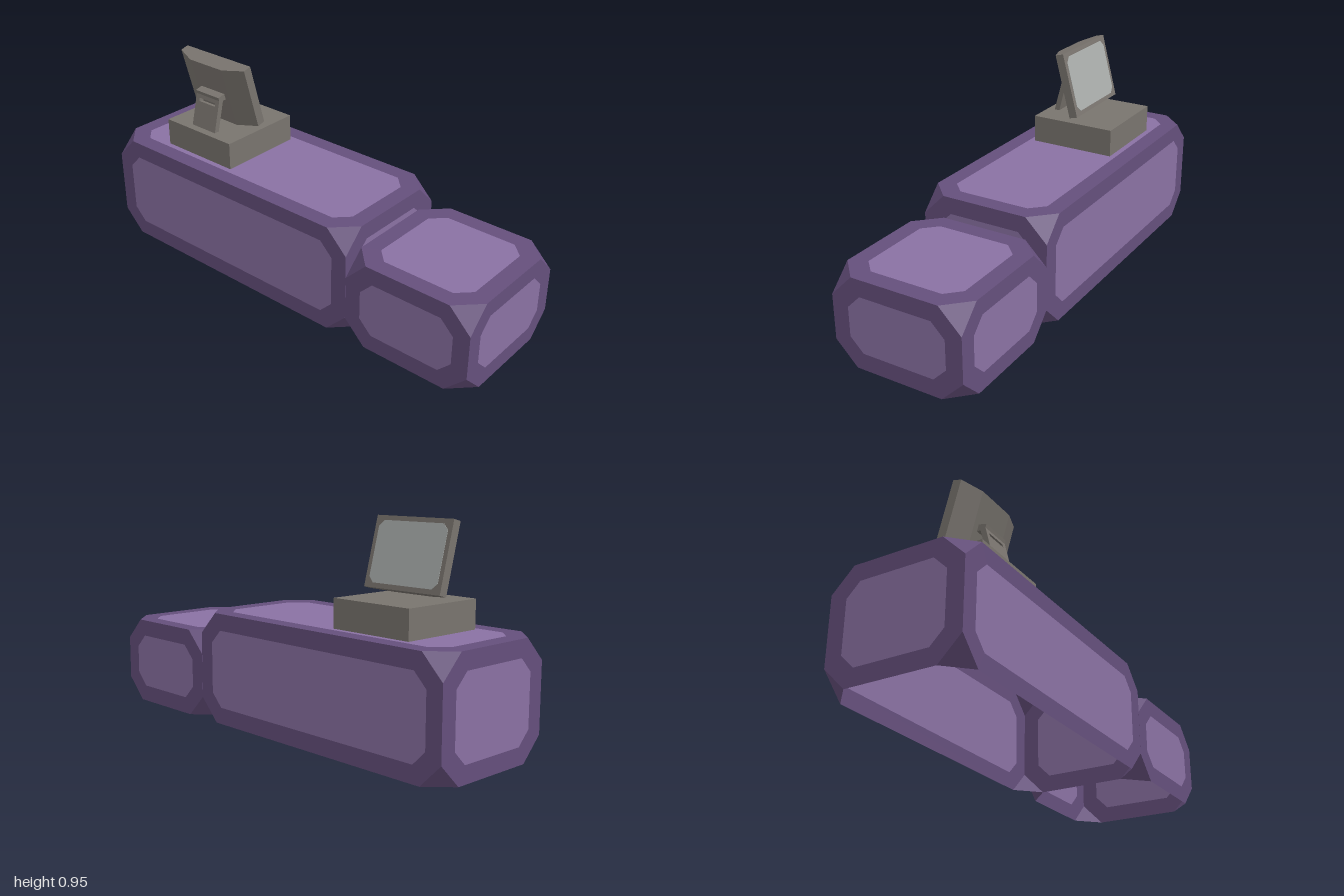
import * as THREE from 'three';

const mat = (name, color, double) => {
  const m = new THREE.MeshStandardMaterial({ color, flatShading: true });
  m.name = name;
  if (double) m.side = THREE.DoubleSide;
  return m;
};

// Rectangle with its four corners cut off
function cutRect(Type, w, h, c) {
  const p = [];
  for (const [sx, sy, flip] of [[1, 1, 0], [-1, 1, 1], [-1, -1, 0], [1, -1, 1]]) {
    const a = [sx * w / 2, sy * (h / 2 - c)], b = [sx * (w / 2 - c), sy * h / 2];
    p.push(...(flip ? [b, a] : [a, b]));
  }
  return new Type(p.map(([x, y]) => new THREE.Vector2(x, y)));
}

export function createModel() {
  const rimMat = mat('dark purple', 0x654f7c, true);
  const panelMat = mat('light purple', 0x8a71a3, true);
  const greyMat = mat('warm grey', 0x79746e);
  const screenMat = mat('screen grey', 0xa9adab);
  const root = new THREE.Group();

  const add = (parent, name, geometry, material) => {
    const m = new THREE.Mesh(geometry, material);
    m.name = name;
    parent.add(m);
    return m;
  };

  // Hollow block, open underneath, with cut corners and a light panel on each face
  const cut = 0.1, inset = 0.075;
  function block(name, x0, x1, h, d) {
    const g = new THREE.Group();
    g.name = name;
    g.position.set((x0 + x1) / 2, h / 2, 0);
    const w = x1 - x0;
    const faces = [
      ['front', w, h, d, 0, 0], ['back', w, h, d, 0, Math.PI],
      ['left', d, h, w, 0, Math.PI / 2], ['right', d, h, w, 0, -Math.PI / 2],
      ['top', w, d, h, -Math.PI / 2, 0],
    ];
    for (const [side, fw, fh, depth, rx, ry] of faces) {
      const face = new THREE.Group();
      face.name = side + 'Face';
      face.rotation.set(rx, ry, 0);
      const rim = cutRect(THREE.Shape, fw, fh, cut);
      const size = [fw - 2 * inset, fh - 2 * inset, 0.06];
      rim.holes.push(cutRect(THREE.Path, ...size));
      for (const [part, shape, m] of [['Rim', rim, rimMat], ['Panel', cutRect(THREE.Shape, ...size), panelMat]])
        add(face, side + part, new THREE.ShapeGeometry(shape).translate(0, 0, depth / 2), m);
      g.add(face);
    }
    // Triangles closing the eight corners
    const v = [];
    for (const sx of [-1, 1]) for (const sy of [-1, 1]) for (const sz of [-1, 1]) {
      const X = sx * w / 2, Y = sy * h / 2, Z = sz * d / 2;
      const a = [X - sx * cut, Y, Z], b = [X, Y - sy * cut, Z], c = [X, Y, Z - sz * cut];
      v.push(...(sx * sy * sz > 0 ? [a, b, c] : [a, c, b]).flat());
    }
    const geo = new THREE.BufferGeometry();
    geo.setAttribute('position', new THREE.Float32BufferAttribute(v, 3));
    geo.computeVertexNormals();
    add(g, 'cutCorners', geo, rimMat);
    root.add(g);
  }
  block('largeBlock', -1, 0.4, 0.5, 0.6);
  block('smallBlock', 0.401, 1, 0.4, 0.6);

  // Console base
  const desk = new THREE.Group();
  desk.name = 'console';
  desk.position.x = -0.55;
  root.add(desk);
  add(desk, 'consoleBase', new THREE.BoxGeometry(0.4, 0.125, 0.4), greyMat).position.y = 0.5625;

  // Tilted monitor with a tapered rear shell and a screen on its -z face
  const monitor = new THREE.Group();
  monitor.name = 'monitor';
  monitor.position.set(0, 0.791, 0.052);
  monitor.rotation.x = Math.PI / 12;
  desk.add(monitor);
  const section = [[-0.2, 0.04], [-0.2, 0], [-0.1, -0.04], [0.1, -0.04], [0.2, 0], [0.2, 0.04]];
  const shell = new THREE.ExtrudeGeometry(
    new THREE.Shape(section.map(([x, y]) => new THREE.Vector2(x, y))), { depth: 0.3, bevelEnabled: false });
  add(monitor, 'monitorShell', shell.rotateX(-Math.PI / 2).translate(0, -0.15, 0), greyMat);
  const screen = new THREE.ExtrudeGeometry(cutRect(THREE.Shape, 0.36, 0.26, 0.025),
    { depth: 0.002, bevelEnabled: false });
  add(monitor, 'screen', screen.translate(0, 0, -0.0415), screenMat);

  // Leaning support arm with a slot below its top
  const arm = cutRect(THREE.Shape, 0.145, 0.17, 0.001);
  arm.holes.push(new THREE.Path([[-0.05, 0.04], [0.05, 0.04], [0.05, 0.055], [-0.05, 0.055]]
    .map(([x, y]) => new THREE.Vector2(x, y))));
  const armMesh = add(desk, 'supportArm', new THREE.ExtrudeGeometry(arm, { depth: 0.024, bevelEnabled: false })
    .translate(0, 0.075, -0.012), greyMat);
  armMesh.position.set(0, 0.625, 0.152);
  armMesh.rotation.x = -0.25;

  // Hinge joining the arm to the monitor, drawn in the z-y plane
  const hinge = new THREE.Shape([[0.131, 0.786], [0.126, 0.765], [0.08, 0.765], [0.075, 0.795], [0.1, 0.794]]
    .map(([z, y]) => new THREE.Vector2(-z, y)));
  add(desk, 'hinge', new THREE.ExtrudeGeometry(hinge, { depth: 0.145, bevelEnabled: false })
    .translate(0, 0, -0.0725).rotateY(Math.PI / 2), greyMat);

  return root;
}
